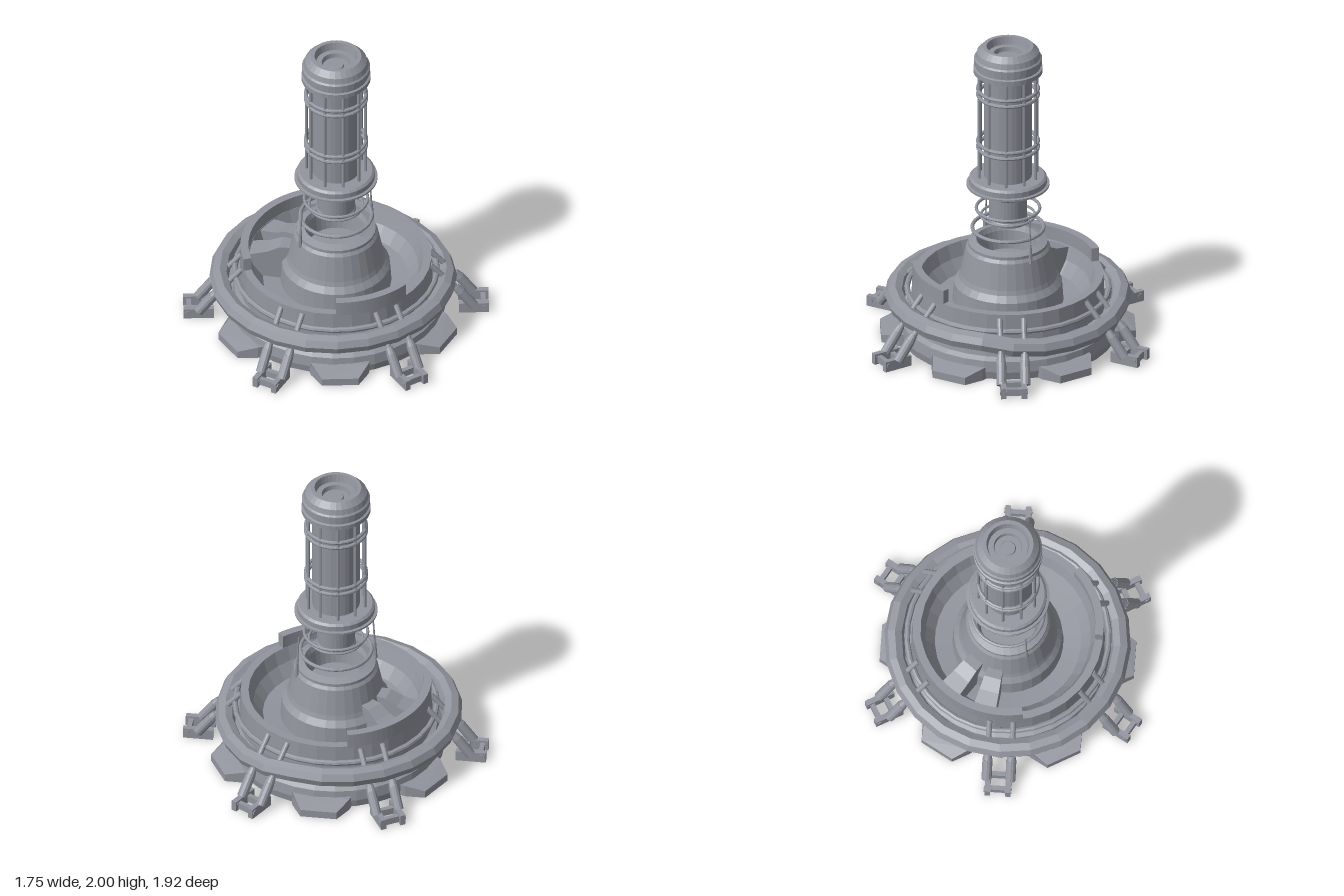
import * as THREE from 'three';

const steel = new THREE.MeshStandardMaterial({ color: 0x92959e, flatShading: true });
steel.name = 'steel grey';

function add(parent, name, geometry, x = 0, y = 0, z = 0) {
  const m = new THREE.Mesh(geometry, steel);
  m.name = name;
  m.position.set(x, y, z);
  parent.add(m);
  return m;
}

function lathe(parent, name, points, sides = 32) {
  return add(parent, name, new THREE.LatheGeometry(points.map(p => new THREE.Vector2(...p)), sides));
}

function hoop(parent, name, radius, y, tube) {
  return add(parent, name, new THREE.TorusGeometry(radius, tube, 8, 32).rotateX(Math.PI / 2), 0, y, 0);
}

// Tapered round bar between two points
function rod(parent, name, a, b, r0, r1 = r0, sides = 12) {
  const p = new THREE.Vector3(...a), q = new THREE.Vector3(...b);
  const d = q.clone().sub(p);
  const m = add(parent, name, new THREE.CylinderGeometry(r1, r0, d.length(), sides));
  m.position.copy(p).addScaledVector(d, 0.5);
  m.quaternion.setFromUnitVectors(new THREE.Vector3(0, 1, 0), d.normalize());
  return m;
}

// Sector of a ring; angles in degrees from +x towards +z
function arcWall(parent, name, r0, r1, y0, y1, from, to) {
  const a = from * Math.PI / 180, b = to * Math.PI / 180;
  const s = new THREE.Shape();
  s.absarc(0, 0, r1, a, b, false);
  s.absarc(0, 0, r0, b, a, true);
  const g = new THREE.ExtrudeGeometry(s, { depth: y1 - y0, bevelEnabled: false, curveSegments: 12 });
  return add(parent, name, g.rotateX(Math.PI / 2), 0, y1, 0);
}

export function createModel() {
  const model = new THREE.Group();
  model.name = 'reactorTower';

  // Base bowl, with a hollow rim underneath and a deep dish on top
  lathe(model, 'baseBowl', [
    [0, 0.05], [0.35, 0.05], [0.355, 0.07], [0.43, 0.07], [0.46, 0.12], [0.54, 0.15],
    [0.6, 0.13], [0.63, 0.05], [0.65, 0], [0.68, 0], [0.69, 0.05], [0.68, 0.12],
    [0.65, 0.14], [0.64, 0.19], [0.61, 0.2], [0.6, 0.41], [0.55, 0.41], [0.52, 0.32],
    [0.46, 0.24], [0.34, 0.23], [0, 0.23],
  ]);
  arcWall(model, 'frontRaisedWall', 0.55, 0.6, 0.4, 0.5, 75, 122);
  arcWall(model, 'backRaisedWall', 0.55, 0.6, 0.4, 0.5, 197, 285);
  hoop(model, 'wallPipe', 0.635, 0.31, 0.018);

  // Sloped ribs between the cone and the raised wall
  for (const deg of [222, 249]) {
    const s = new THREE.Shape([[0.26, 0.23], [0.46, 0.23], [0.55, 0.34], [0.55, 0.4], [0.43, 0.43], [0.35, 0.47], [0.26, 0.47]]
      .map(p => new THREE.Vector2(...p)));
    const g = new THREE.ExtrudeGeometry(s, { depth: 0.12, bevelEnabled: false }).translate(0, 0, -0.06);
    const p = g.attributes.position;
    for (let i = 0; i < p.count; i++) p.setZ(i, p.getZ(i) * (0.35 + p.getX(i) * 1.6));
    add(model, 'bowlRib', g).rotation.y = -deg * Math.PI / 180;
  }

  // Central cone with an open mouth
  lathe(model, 'centralCone', [
    [0.35, 0.22], [0.34, 0.36], [0.31, 0.4], [0.3, 0.43], [0.265, 0.6], [0.25, 0.62],
    [0.25, 0.64], [0.2, 0.655], [0.185, 0.62], [0.17, 0.5], [0, 0.5],
  ]);

  // Heavy pipe around the bowl, dipping on the +x side
  const path = [];
  for (let i = 0; i < 24; i++) {
    const a = i / 24 * Math.PI * 2;
    const dip = THREE.MathUtils.smoothstep(Math.cos(a), 0.72, 0.97);
    path.push(new THREE.Vector3(0.718 * Math.cos(a) - 0.015, 0.262 - 0.045 * dip, 0.713 * Math.sin(a) - 0.01));
  }
  const ring = new THREE.CatmullRomCurve3(path, true);
  add(model, 'heavyPipe', new THREE.TubeGeometry(ring, 24, 0.062, 8, true));

  // Six struts with feet, and six ground plates between them
  for (let k = 0; k < 6; k++) {
    const leg = new THREE.Group();
    leg.name = 'leg';
    leg.rotation.y = k * Math.PI / 3;
    model.add(leg);
    for (const s of [-1, 1]) {
      const x = s * 0.075;
      rod(leg, 'strutRod', [x, 0.17, 0.775], [x, 0.38, 0.59], 0.018);
      rod(leg, 'strutSleeve', [x, 0.05, 0.865], [x, 0.17, 0.775], 0.032);
      rod(leg, 'sleeveNeck', [x, 0.17, 0.775], [x, 0.205, 0.747], 0.03, 0.023);
      add(leg, 'footCheek', new THREE.BoxGeometry(0.035, 0.07, 0.19), s * 0.065, 0.035, 0.865);
      rod(leg, 'footPin', [s * 0.045, 0.04, 0.935], [s * 0.088, 0.04, 0.935], 0.018);
    }
    add(leg, 'footFrontBar', new THREE.BoxGeometry(0.11, 0.045, 0.03), 0, 0.035, 0.925);
    add(leg, 'footBackBar', new THREE.BoxGeometry(0.11, 0.045, 0.03), 0, 0.035, 0.83);

    const s = new THREE.Shape([[-0.19, 0.65], [0.19, 0.65], [0.18, 0.69], [0.115, 0.8], [-0.115, 0.8], [-0.18, 0.69]]
      .map(p => new THREE.Vector2(...p)));
    const g = new THREE.ExtrudeGeometry(s, { depth: 0.08, bevelEnabled: false })
      .rotateX(Math.PI / 2).translate(0, 0.08, 0);
    const p = g.attributes.position;
    for (let i = 0; i < p.count; i++) if (p.getZ(i) > 0.75 && p.getY(i) > 0.04) p.setY(i, 0.05);
    add(model, 'groundPlate', g).rotation.y = (k + 0.5) * Math.PI / 3;
  }

  // Loose coil hoops and two upright prongs
  hoop(model, 'lowerHoop', 0.225, 0.735, 0.012);
  hoop(model, 'upperHoop', 0.2, 0.87, 0.01);
  hoop(model, 'innerHoop', 0.17, 0.82, 0.008);
  for (const s of [-1, 1]) {
    rod(model, 'prongBase', [s * 0.268, 0.59, 0], [s * 0.262, 0.72, 0], 0.013, 0.009, 6);
    rod(model, 'prong', [s * 0.262, 0.72, 0], [s * 0.252, 0.89, 0], 0.006, 0.005, 6);
  }

  // Column: neck, flange, core and hollow cap
  lathe(model, 'column', [
    [0, 0.77], [0.1, 0.77], [0.125, 0.78], [0.125, 0.8], [0.118, 0.81], [0.118, 0.96],
    [0.18, 1.03], [0.262, 1.035], [0.262, 1.047], [0.245, 1.05], [0.245, 1.085], [0.23, 1.098],
    [0.15, 1.1], [0.15, 1.81], [0.205, 1.815], [0.205, 1.825], [0.218, 1.825], [0.218, 1.855],
    [0.205, 1.86], [0.205, 1.88], [0.215, 1.885], [0.215, 1.92], [0.205, 1.93], [0.195, 1.965],
    [0.16, 2], [0.135, 2], [0.125, 1.95], [0.09, 1.95], [0.085, 1.92], [0.05, 1.92],
    [0.045, 1.93], [0, 1.93],
  ]);

  // Cage around the core
  for (let i = 0; i < 10; i++) {
    const a = (18 + 36 * i) * Math.PI / 180, x = 0.187 * Math.sin(a), z = 0.187 * Math.cos(a);
    rod(model, 'cageBar', [x, 1.09, z], [x, 1.82, z], 0.01, 0.01, 8);
  }
  for (const y of [1.3, 1.34, 1.665, 1.705]) hoop(model, 'cageHoop', 0.19, y, 0.012);

  return model;
}
